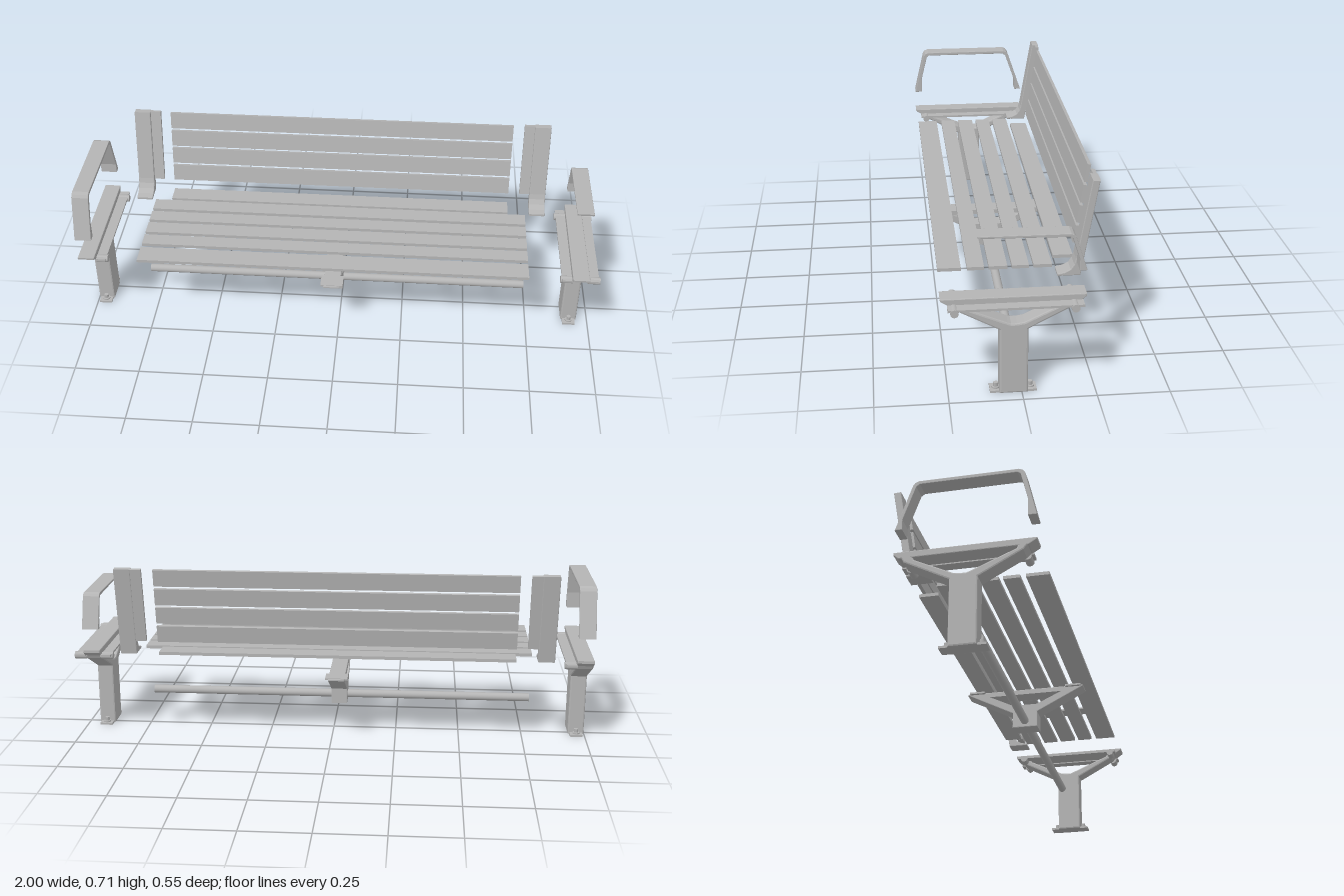
import * as THREE from 'three';

const steel = new THREE.MeshStandardMaterial({ color: 0xb4b4b4, side: THREE.DoubleSide });
steel.name = 'light grey';

function add(parent, name, geometry, x = 0, y = 0, z = 0) {
  const mesh = new THREE.Mesh(geometry, steel);
  mesh.name = name;
  mesh.position.set(x, y, z);
  parent.add(mesh);
  return mesh;
}

// Box given by its limits on each axis
function slab(parent, name, x0, x1, y0, y1, z0, z1) {
  return add(parent, name, new THREE.BoxGeometry(x1 - x0, y1 - y0, z1 - z0),
    (x0 + x1) / 2, (y0 + y1) / 2, (z0 + z1) / 2);
}

// Side profile of [z, y] points extruded across x, with softened edges
function profile(parent, name, points, width, x, hole = null, bevel = 0) {
  const shape = new THREE.Shape(points.map(p => new THREE.Vector2(...p)));
  if (hole) shape.holes.push(new THREE.Path(hole.map(p => new THREE.Vector2(...p))));
  const depth = width - 2 * bevel;
  const g = new THREE.ExtrudeGeometry(shape, {
    depth, bevelEnabled: bevel > 0, bevelSize: bevel, bevelOffset: -bevel,
    bevelThickness: bevel, bevelSegments: 2, curveSegments: 6,
  });
  g.translate(0, 0, -depth / 2).rotateY(-Math.PI / 2);
  return add(parent, name, g, x);
}

// Y-shaped end leg with a top rail, side rails and a bolted foot
function makeLeg(parent, name, x, sides) {
  const leg = new THREE.Group();
  leg.name = name;
  leg.position.x = x;
  parent.add(leg);
  profile(leg, 'forkedColumn', [
    [0.077, 0], [0.077, 0.243], [0.227, 0.324], [0.25, 0.35], [0.21, 0.35], [0.204, 0.333],
    [0.049, 0.268], [0.038, 0.264], [0.018, 0.264], [-0.007, 0.268],
    [-0.142, 0.333], [-0.15, 0.35], [-0.19, 0.35], [-0.176, 0.324], [-0.02, 0.243], [-0.02, 0],
  ], 0.064, 0, null, 0.006);
  profile(leg, 'topRail', [
    [0.273, 0.366], [0.272, 0.358], [0.245, 0.341], [-0.195, 0.341], [-0.212, 0.356], [-0.212, 0.366],
  ], 0.064, 0, null, 0.003);
  for (const s of sides) {
    slab(leg, 'sideRail', Math.min(s * 0.03, s * 0.07), Math.max(s * 0.03, s * 0.07), 0.337, 0.345, -0.2, 0.25);
    for (const z of [0.228, -0.17]) {
      const boss = add(leg, 'railBoss', new THREE.CylinderGeometry(0.014, 0.014, 0.046, 16), s * 0.052, 0.334, z);
      boss.rotation.z = Math.PI / 2;
    }
  }
  for (const z of [0.09, -0.033]) {
    const dir = z > 0 ? 1 : -1;
    slab(leg, 'footPlate', -0.025, 0.025, 0, 0.008, z - 0.018, z + 0.018);
    add(leg, 'washer', new THREE.CylinderGeometry(0.014, 0.014, 0.005, 16), 0, 0.0105, z - dir * 0.002);
    add(leg, 'bolt', new THREE.CylinderGeometry(0.009, 0.009, 0.014, 6), 0, 0.02, z - dir * 0.003);
  }
}

// Upright with a curved foot and a thin inner flange; s points outward
function makeBackBracket(parent, name, x, s) {
  const bracket = new THREE.Group();
  bracket.name = name;
  bracket.position.x = x;
  parent.add(bracket);
  profile(bracket, 'upright', [
    [-0.135, 0.358], [-0.135, 0.366], [-0.16, 0.371], [-0.18, 0.382], [-0.192, 0.4], [-0.198, 0.42],
    [-0.247, 0.706], [-0.273, 0.704], [-0.214, 0.358],
  ], 0.064, 0, null, 0.003);
  profile(bracket, 'slatFlange', [
    [-0.208, 0.412], [-0.257, 0.705], [-0.271, 0.703], [-0.222, 0.412],
  ], 0.044, -s * 0.05);
}

export function createModel() {
  const bench = new THREE.Group();
  bench.name = 'explodedBench';
  const mid = -0.022;

  // Seat slats, with a shorter one at the rear
  for (const [z0, z1] of [[-0.128, -0.064], [-0.048, 0.011], [0.027, 0.091], [0.107, 0.166], [0.187, 0.268]]) {
    slab(bench, 'seatSlat', -0.77, 0.728, 0.354, 0.366, z0, z1);
  }
  slab(bench, 'rearSeatSlat', -0.706, 0.66, 0.354, 0.366, -0.21, -0.14);

  // Leaning back slats
  for (const y of [0.443, 0.519, 0.594, 0.67]) {
    const slat = add(bench, 'backSlat', new THREE.BoxGeometry(1.366, 0.066, 0.012),
      mid, y, -0.207 - 0.155 * (y - 0.36));
    slat.rotation.x = -0.157;
  }
  makeBackBracket(bench, 'rightBackBracket', -0.818, -1);
  makeBackBracket(bench, 'leftBackBracket', 0.777, 1);

  // End legs
  makeLeg(bench, 'rightLeg', -0.967, [1]);
  makeLeg(bench, 'leftLeg', 0.925, [-1, 1]);

  // Full armrest on the right, open-fronted armrest on the left
  profile(bench, 'rightArmrest', [
    [0.273, 0.452], [0.233, 0.622], [0.226, 0.632], [0.212, 0.637], [-0.133, 0.637], [-0.146, 0.632],
    [-0.154, 0.622], [-0.212, 0.452], [-0.186, 0.452], [-0.186, 0.49], [-0.142, 0.615], [-0.13, 0.624],
    [0.208, 0.624], [0.218, 0.617], [0.243, 0.515], [0.243, 0.452],
  ], 0.064, -0.967, null, 0.002);
  profile(bench, 'leftArmrest', [
    [0.15, 0.586], [-0.155, 0.584], [-0.165, 0.58], [-0.172, 0.572], [-0.212, 0.45], [-0.186, 0.45],
    [-0.186, 0.49], [-0.162, 0.564], [-0.153, 0.572], [0.148, 0.578],
  ], 0.064, 0.925, null, 0.002);

  // Stretcher tube and the triangular centre brace it passes through
  const tube = add(bench, 'stretcher', new THREE.CylinderGeometry(0.016, 0.016, 1.515, 20), mid, 0.134, 0.028);
  tube.rotation.z = Math.PI / 2;
  profile(bench, 'centreBrace', [
    [0.258, 0.265], [0.258, 0.26], [0.077, 0.168], [0.077, 0.107], [-0.02, 0.107], [-0.02, 0.168],
    [-0.2, 0.26], [-0.2, 0.265],
  ], 0.064, mid, [[0.176, 0.246], [0.077, 0.197], [-0.02, 0.197], [-0.115, 0.246]], 0.003);
  for (const [z0, z1] of [[0.19, 0.25], [-0.19, -0.13]]) {
    slab(bench, 'bracePad', mid - 0.043, mid + 0.043, 0.26, 0.267, z0, z1);
  }
  return bench;
}
